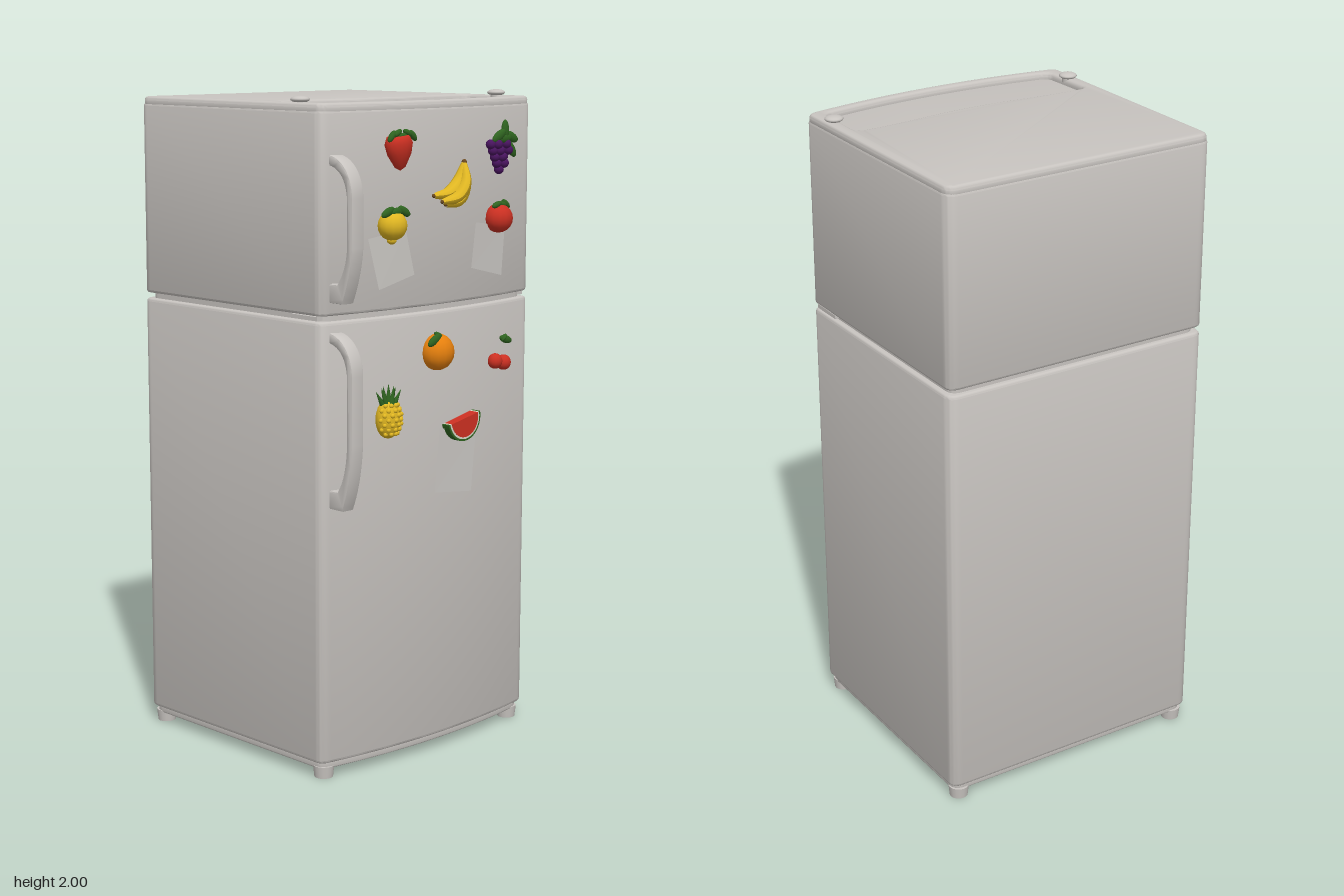
import * as THREE from 'three';
import { toCreasedNormals } from 'three/addons/utils/BufferGeometryUtils.js';

const paint = (name, color) => {
  const m = new THREE.MeshStandardMaterial({ color });
  m.name = name;
  return m;
};
const enamel = paint('enamel', 0xc8c4c0);
const red = paint('red', 0xcc3022);
const yellow = paint('yellow', 0xe2b822);
const orange = paint('orange', 0xf0860f);
const purple = paint('purple', 0x4a1560);
const green = paint('green', 0x2f6420);
const cream = paint('cream', 0xd8d4c4);
const brown = paint('brown', 0x6b4a20);
const paper = paint('paper', 0xcbc8c4);
paper.side = THREE.DoubleSide;

// z of the bowed door front
const doorZ = x => 0.392 - 0.036 * (x / 0.41) ** 2;

function add(group, name, geometry, material, x = 0, y = 0, z = 0) {
  const mesh = new THREE.Mesh(geometry, material);
  mesh.name = name;
  mesh.position.set(x, y, z);
  group.add(mesh);
  return mesh;
}

// Plan outline with rounded corners and a bowed front (shape y is -z)
function outline(inset) {
  const w = 0.445 - inset, back = 0.45 - inset, r = 0.035, s = new THREE.Shape();
  s.moveTo(w, back - r);
  s.quadraticCurveTo(w, back, w - r, back);
  s.lineTo(-w + r, back);
  s.quadraticCurveTo(-w, back, -w, back - r);
  s.lineTo(-w, -0.325 + inset);
  s.quadraticCurveTo(-w, -0.352 + inset, -w + r, -doorZ(-w + r) + inset);
  for (let i = 1; i <= 16; i++) {
    const x = (-w + r) * (1 - i / 8);
    s.lineTo(x, -doorZ(x) + inset);
  }
  s.quadraticCurveTo(w, -0.352 + inset, w, -0.325 + inset);
  s.closePath();
  return s;
}

// Outline of the tray sunk into the top
function trayHole() {
  const h = new THREE.Path();
  h.moveTo(-0.40, -0.15);
  h.quadraticCurveTo(-0.40, -0.122, -0.375, -0.122);
  h.bezierCurveTo(-0.2, -0.122, -0.15, -0.145, 0, -0.145);
  h.bezierCurveTo(0.15, -0.145, 0.2, -0.122, 0.375, -0.122);
  h.quadraticCurveTo(0.40, -0.122, 0.40, -0.15);
  h.lineTo(0.395, -0.29);
  h.quadraticCurveTo(0.395, -0.315, 0.365, -0.322);
  h.quadraticCurveTo(0, -0.382, -0.365, -0.322);
  h.quadraticCurveTo(-0.395, -0.315, -0.395, -0.29);
  h.closePath();
  return h;
}

function slab(shape, y0, y1, bevel) {
  const g = new THREE.ExtrudeGeometry(shape, {
    depth: y1 - y0 - 2 * bevel, bevelEnabled: bevel > 0, bevelThickness: bevel,
    bevelSize: bevel, bevelOffset: -bevel, bevelSegments: 3, curveSegments: 8,
  });
  g.rotateX(-Math.PI / 2).translate(0, y0 + bevel, 0);
  return toCreasedNormals(g, 0.6);
}

// Tube whose radius follows a rule along its length
function taperedTube(curve, radius, rule, n = 14, sides = 8) {
  const g = new THREE.TubeGeometry(curve, n, radius, sides), p = g.attributes.position;
  const v = new THREE.Vector3();
  for (let i = 0; i < p.count; i++) {
    const t = Math.floor(i / (sides + 1)) / n, c = curve.getPointAt(t);
    v.fromBufferAttribute(p, i).sub(c).multiplyScalar(rule(t)).add(c);
    p.setXYZ(i, v.x, v.y, v.z);
  }
  g.computeVertexNormals();
  return g;
}

function handle(y0, y1) {
  const h = y1 - y0, s = new THREE.Shape();
  s.moveTo(0.34, y1);
  s.bezierCurveTo(0.40, y1, 0.446, y1 - 0.05, 0.447, y1 - 0.12);
  s.lineTo(0.447, y0 + h * 0.38);
  s.quadraticCurveTo(0.44, y0 + 0.08, 0.405, y0);
  s.lineTo(0.34, y0);
  s.lineTo(0.34, y0 + 0.055);
  s.lineTo(0.385, y0 + 0.055);
  s.quadraticCurveTo(0.42, y0 + 0.1, 0.424, y0 + h * 0.38);
  s.lineTo(0.424, y1 - 0.12);
  s.quadraticCurveTo(0.415, y1 - 0.035, 0.34, y1 - 0.03);
  s.closePath();
  const g = new THREE.ExtrudeGeometry(s, { depth: 0.036, bevelThickness: 0.006, bevelSize: 0.005, bevelOffset: -0.005, bevelSegments: 2 });
  g.rotateY(-Math.PI / 2).scale(-1, 1, 1);
  // the mirror flips the winding, so turn the faces back
  const p = g.attributes.position, a = new THREE.Vector3(), b = new THREE.Vector3();
  for (let i = 0; i < p.count; i += 3) {
    a.fromBufferAttribute(p, i); b.fromBufferAttribute(p, i + 1);
    p.setXYZ(i, b.x, b.y, b.z); p.setXYZ(i + 1, a.x, a.y, a.z);
  }
  g.computeVertexNormals();
  // local z (profile x) must face the front
  return toCreasedNormals(g, 0.6);
}

// Ellipsoid placed relative to the door front
function blob(group, name, mat, x, y, dz, rx, ry, rz, turn = 0) {
  const m = add(group, name, new THREE.SphereGeometry(1, 14, 10), mat, x, y, doorZ(x) + dz);
  m.scale.set(rx, ry, rz);
  m.rotation.z = turn;
  return m;
}

function leaf(group, x, y, dz, length, turn) {
  return blob(group, 'leaf', green, x, y, dz, length / 2, length / 4.5, 0.009, turn);
}

export function createModel() {
  const model = new THREE.Group();
  const part = name => {
    const g = new THREE.Group();
    g.name = name;
    model.add(g);
    return g;
  };

  // Cabinet
  const cabinet = part('cabinet');
  add(cabinet, 'plinth', slab(outline(0.012), 0.03, 0.06, 0.004), enamel);
  add(cabinet, 'lowerCompartment', slab(outline(0), 0.05, 1.365, 0.01), enamel);
  add(cabinet, 'seam', slab(outline(0.018), 1.355, 1.395, 0), enamel);
  add(cabinet, 'freezer', slab(outline(0), 1.382, 1.962, 0.008), enamel);
  const top = outline(0.002);
  top.holes.push(trayHole());
  add(cabinet, 'topRim', slab(top, 1.945, 1.982, 0.012), enamel);

  // Hinge caps, middle hinges and feet
  for (const s of [-1, 1]) {
    add(cabinet, 'hingePost', new THREE.CylinderGeometry(0.018, 0.018, 0.02, 16), enamel, s * 0.413, 1.98, 0.235);
    add(cabinet, 'hingeCap', new THREE.SphereGeometry(0.028, 18, 10), enamel, s * 0.413, 1.99, 0.235).scale.y = 0.36;
    add(cabinet, 'middleHinge', new THREE.BoxGeometry(0.035, 0.012, 0.11), enamel, s * 0.422, 1.374, 0.275);
    for (const z of [0.318, -0.415])
      add(cabinet, 'foot', new THREE.CylinderGeometry(0.032, 0.028, 0.036, 16), enamel, s * 0.405, 0.018, z);
  }

  // Handles
  add(model, 'freezerHandle', handle(1.42, 1.84), enamel, -0.408, 0, 0);
  add(model, 'lowerHandle', handle(0.82, 1.335), enamel, -0.408, 0, 0);

  // Paper notes, corners clockwise from top left
  const notes = [
    [[-0.285, 1.595], [-0.145, 1.615], [-0.11, 1.48], [-0.245, 1.445]],
    [[0.155, 1.615], [0.30, 1.595], [0.285, 1.445], [0.135, 1.48]],
    [[0, 1.01], [0.165, 0.98], [0.145, 0.795], [-0.02, 0.815]],
  ];
  for (const c of notes) {
    const g = new THREE.BufferGeometry();
    const q = [3, 2, 1, 3, 1, 0].flatMap(i => [c[i][0], c[i][1], doorZ(c[i][0]) + 0.006]);
    g.setAttribute('position', new THREE.Float32BufferAttribute(q, 3));
    g.computeVertexNormals();
    add(model, 'note', g, paper);
  }

  // Strawberry
  const strawberry = part('strawberry');
  const berry = new THREE.LatheGeometry([[0, -0.06], [0.018, -0.05], [0.04, -0.012], [0.047, 0.018], [0.038, 0.04], [0, 0.048]]
    .map(p => new THREE.Vector2(...p)), 16);
  const sb = add(strawberry, 'berry', berry, red, -0.18, 1.845, doorZ(0.18) + 0.014);
  sb.scale.z = 0.75;
  sb.rotation.z = 0.1;
  for (let i = 0; i < 5; i++) leaf(strawberry, -0.222 + i * 0.02, 1.885 + (i % 2) * 0.008, 0.03, 0.04, 0.9 - i * 0.45);

  // Grapes
  const grapes = part('grapes');
  for (let row = 0; row < 5; row++)
    for (let i = 0; i < 5 - row; i++)
      blob(grapes, 'grape', purple, 0.25 + (i - (4 - row) / 2) * 0.021, 1.845 - row * 0.019, 0.018 + (i % 2) * 0.012, 0.015, 0.015, 0.015);
  for (const [x, y, t] of [[0.235, 1.87, 0.5], [0.265, 1.885, 1.6], [0.295, 1.865, -0.4], [0.295, 1.83, -0.9], [0.26, 1.862, 0]])
    leaf(grapes, x, y, 0.03, 0.065, t);

  // Bananas
  const bananas = part('bananas');
  const ends = [[-0.035, 1.705, -0.005], [-0.02, 1.688, 0.015], [0.005, 1.678, 0.005]];
  ends.forEach(([x, y, dz], i) => {
    const curve = new THREE.CatmullRomCurve3([
      new THREE.Vector3(x, y, 0.405 + dz), new THREE.Vector3(0.022 + i * 0.018, 1.712 - i * 0.012, 0.41 + dz),
      new THREE.Vector3(0.066 + i * 0.009, 1.745 - i * 0.006, 0.408 + dz), new THREE.Vector3(0.088, 1.795, 0.405)]);
    add(bananas, 'banana', taperedTube(curve, 0.019, t => 0.25 + 0.75 * Math.sin(Math.PI * Math.min(1, t * 0.85 + 0.07))), yellow);
    blob(bananas, 'tip', brown, x, y, 0.013 + dz, 0.006, 0.006, 0.006);
  });
  blob(bananas, 'stem', brown, 0.089, 1.797, 0.014, 0.008, 0.01, 0.008);

  // Lemon
  const lemon = part('lemon');
  blob(lemon, 'fruit', yellow, -0.205, 1.63, 0.015, 0.046, 0.044, 0.042);
  blob(lemon, 'nub', yellow, -0.207, 1.587, 0.015, 0.014, 0.012, 0.014);
  for (const [x, t] of [[-0.235, 0.4], [-0.2, 0.1], [-0.175, -0.5]]) leaf(lemon, x, 1.67, 0.03, 0.055, t);

  // Apple
  const apple = part('apple');
  blob(apple, 'fruit', red, 0.252, 1.622, 0.017, 0.046, 0.044, 0.043);
  for (const [x, t] of [[0.232, 0.3], [0.258, -0.2], [0.278, -0.7]]) leaf(apple, x, 1.664, 0.026, 0.04, t);

  // Orange
  const citrus = part('orangeFruit');
  blob(citrus, 'fruit', orange, -0.017, 1.243, 0.01, 0.055, 0.055, 0.048);
  leaf(citrus, -0.05, 1.283, 0.03, 0.06, 0.5);
  leaf(citrus, -0.025, 1.293, 0.022, 0.04, -0.6);

  // Cherries
  const cherries = part('cherries');
  blob(cherries, 'cherry', red, 0.248, 1.185, 0.014, 0.024, 0.024, 0.022);
  blob(cherries, 'cherry', red, 0.293, 1.176, 0.014, 0.024, 0.024, 0.022);
  leaf(cherries, 0.305, 1.246, 0.012, 0.055, -0.3);
  leaf(cherries, 0.295, 1.252, 0.012, 0.03, 0.7);

  // Pineapple
  const pineapple = part('pineapple');
  blob(pineapple, 'fruit', yellow, -0.218, 1.066, 0.015, 0.041, 0.058, 0.036);
  for (let row = -3; row <= 3; row++)
    for (let i = -2; i <= 2; i++) {
      const a = (i + (row & 1) * 0.5) * 0.6, k = Math.sqrt(1 - (row / 4.2) ** 2);
      blob(pineapple, 'scale', yellow, -0.218 + Math.sin(a) * 0.04 * k, 1.066 + row * 0.014, 0.015 + Math.cos(a) * 0.034 * k, 0.008, 0.007, 0.006);
    }
  for (let i = -3; i <= 3; i++) {
    const m = add(pineapple, 'crownLeaf', new THREE.ConeGeometry(0.011, 0.062, 6), green, -0.222 + i * 0.009, 1.142 - Math.abs(i) * 0.005, 0.402 + (i % 2) * 0.008);
    m.rotation.z = -i * 0.2;
  }

  // Watermelon slice: flesh and two rind bands
  const melon = part('watermelon');
  const band = (name, inner, outer, depth, mat) => {
    const s = new THREE.Shape();
    s.absarc(0, 0, outer, Math.PI, 2 * Math.PI, false);
    if (inner) s.absarc(0, 0, inner, 2 * Math.PI, Math.PI, true);
    s.closePath();
    add(melon, name, new THREE.ExtrudeGeometry(s, { depth, bevelEnabled: false, curveSegments: 16 }), mat);
  };
  band('flesh', 0, 0.058, 0.034, red);
  band('innerRind', 0.058, 0.064, 0.033, cream);
  band('outerRind', 0.064, 0.07, 0.032, green);
  melon.position.set(0.085, 1.032, 0.388);
  melon.rotation.z = 0.2;

  return model;
}
